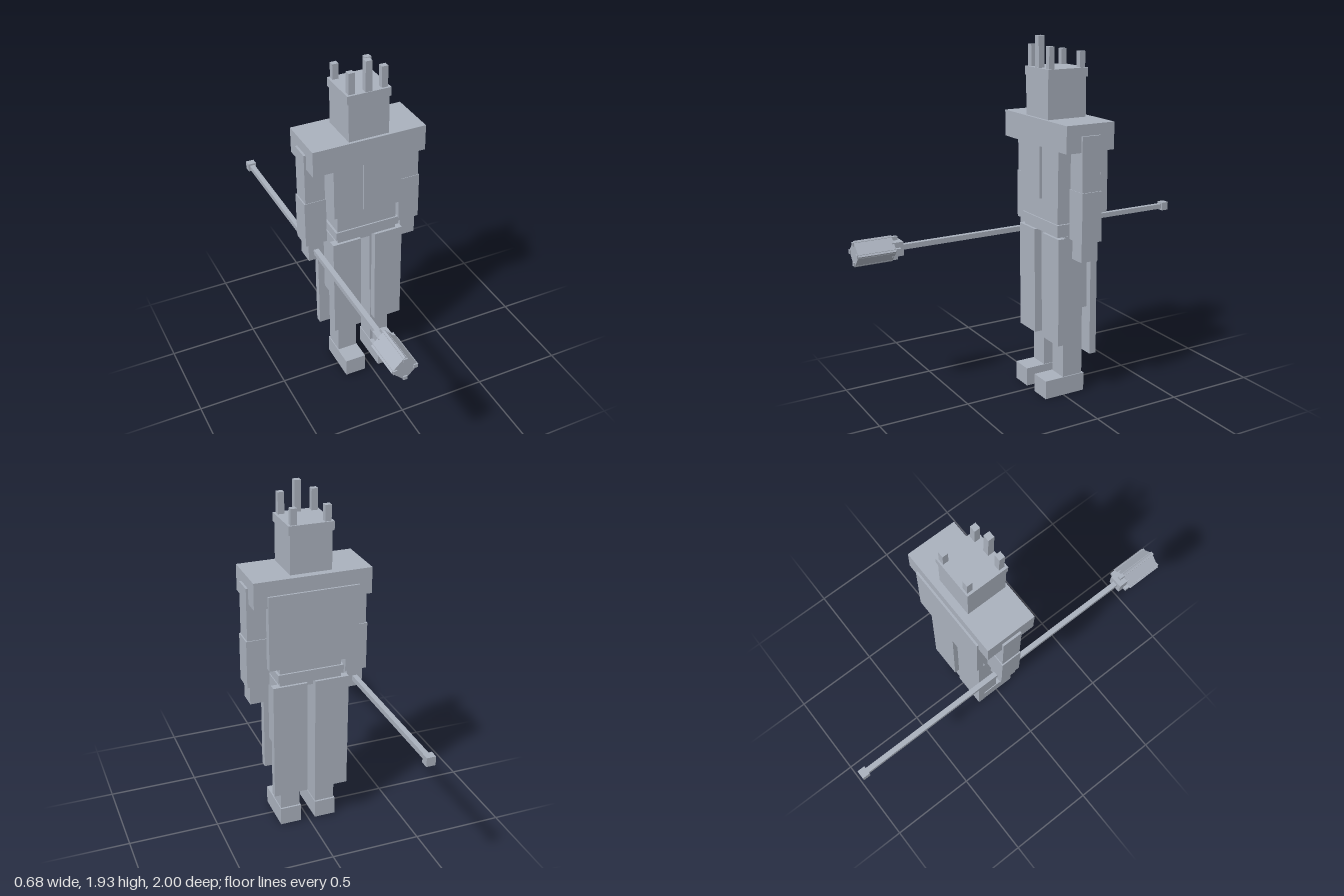
import * as THREE from 'three';

const armour = new THREE.MeshStandardMaterial({ color: 0xaab1bd });
armour.name = 'grey armour';

// Box from its lower and upper bounds on each axis
function block(parent, name, [x0, x1], [y0, y1], [z0, z1]) {
  const mesh = new THREE.Mesh(new THREE.BoxGeometry(x1 - x0, y1 - y0, z1 - z0), armour);
  mesh.position.set((x0 + x1) / 2, (y0 + y1) / 2, (z0 + z1) / 2);
  mesh.name = name;
  parent.add(mesh);
  return mesh;
}

// Same box on both sides of the body's middle line
const MID = 0.003;
function pair(parent, name, [a, b], y, z) {
  block(parent, name + 'Left', [MID + a, MID + b], y, z);
  block(parent, name + 'Right', [MID - b, MID - a], y, z);
}

function centred(parent, name, halfWidth, y, z) {
  return block(parent, name, [MID - halfWidth, MID + halfWidth], y, z);
}

function createMace() {
  const mace = new THREE.Group();
  mace.name = 'mace';
  const square = (name, half, z, x = 0, y = 0) =>
    block(mace, name, [x - half, x + half], [y - half, y + half], z);

  square('shaft', 0.014, [-0.97, 0.76]);
  square('pommel', 0.024, [-1, -0.957]);
  square('collar', 0.038, [0.735, 0.8]);
  square('maceHead', 0.05, [0.787, 0.993]).rotation.z = Math.PI / 4;
  // Studs running along the four edges of the head
  for (let i = 0; i < 4; i++) {
    const a = (i * Math.PI) / 2;
    square('stud', 0.01, [0.757, 1], 0.053 * Math.cos(a), 0.053 * Math.sin(a));
  }
  mace.position.set(-0.272, 0.845, 0);
  return mace;
}

export function createModel() {
  const model = new THREE.Group();
  model.name = 'crownedKnight';

  // Head and crown
  centred(model, 'head', 0.112, [1.5, 1.73], [-0.16, 0.067]);
  centred(model, 'crownBand', 0.12, [1.72, 1.767], [-0.166, 0.07]);
  block(model, 'crownSpikeCentre', [-0.016, 0.02], [1.76, 1.93], [0.032, 0.066]);
  pair(model, 'crownSpikeFront', [0.073, 0.107], [1.76, 1.88], [0.026, 0.058]);
  pair(model, 'crownSpikeBack', [0.073, 0.107], [1.76, 1.85], [-0.157, -0.126]);

  // Torso
  centred(model, 'shoulders', 0.316, [1.37, 1.512], [-0.2, 0.083]);
  centred(model, 'chest', 0.193, [1.066, 1.38], [-0.17, 0.056]);
  centred(model, 'chestRidge', 0.029, [1.085, 1.38], [0.05, 0.07]);
  centred(model, 'cape', 0.244, [1.025, 1.432], [-0.211, -0.17]);
  centred(model, 'waist', 0.171, [0.9, 1.07], [-0.16, 0.045]);
  centred(model, 'belt', 0.183, [0.924, 0.97], [-0.17, 0.053]);
  centred(model, 'pelvis', 0.168, [0.864, 0.91], [-0.13, 0.014]);

  // Arms
  pair(model, 'upperArm', [0.218, 0.328], [1.16, 1.453], [-0.113, -0.003]);
  pair(model, 'forearm', [0.214, 0.335], [0.9, 1.165], [-0.118, 0]);
  pair(model, 'hand', [0.23, 0.318], [0.795, 0.91], [-0.107, -0.008]);

  // Legs with hanging armour plates in front and behind
  pair(model, 'frontTasset', [0.042, 0.204], [0.31, 0.9], [0.016, 0.06]);
  pair(model, 'backTasset', [0.022, 0.212], [0.23, 0.9], [-0.174, -0.134]);
  pair(model, 'thigh', [0.031, 0.176], [0.492, 0.9], [-0.134, 0.017]);
  pair(model, 'shin', [0.046, 0.157], [0.1, 0.5], [-0.118, 0]);
  pair(model, 'foot', [0.042, 0.162], [0, 0.103], [-0.129, 0.112]);

  model.add(createMace());
  return model;
}
